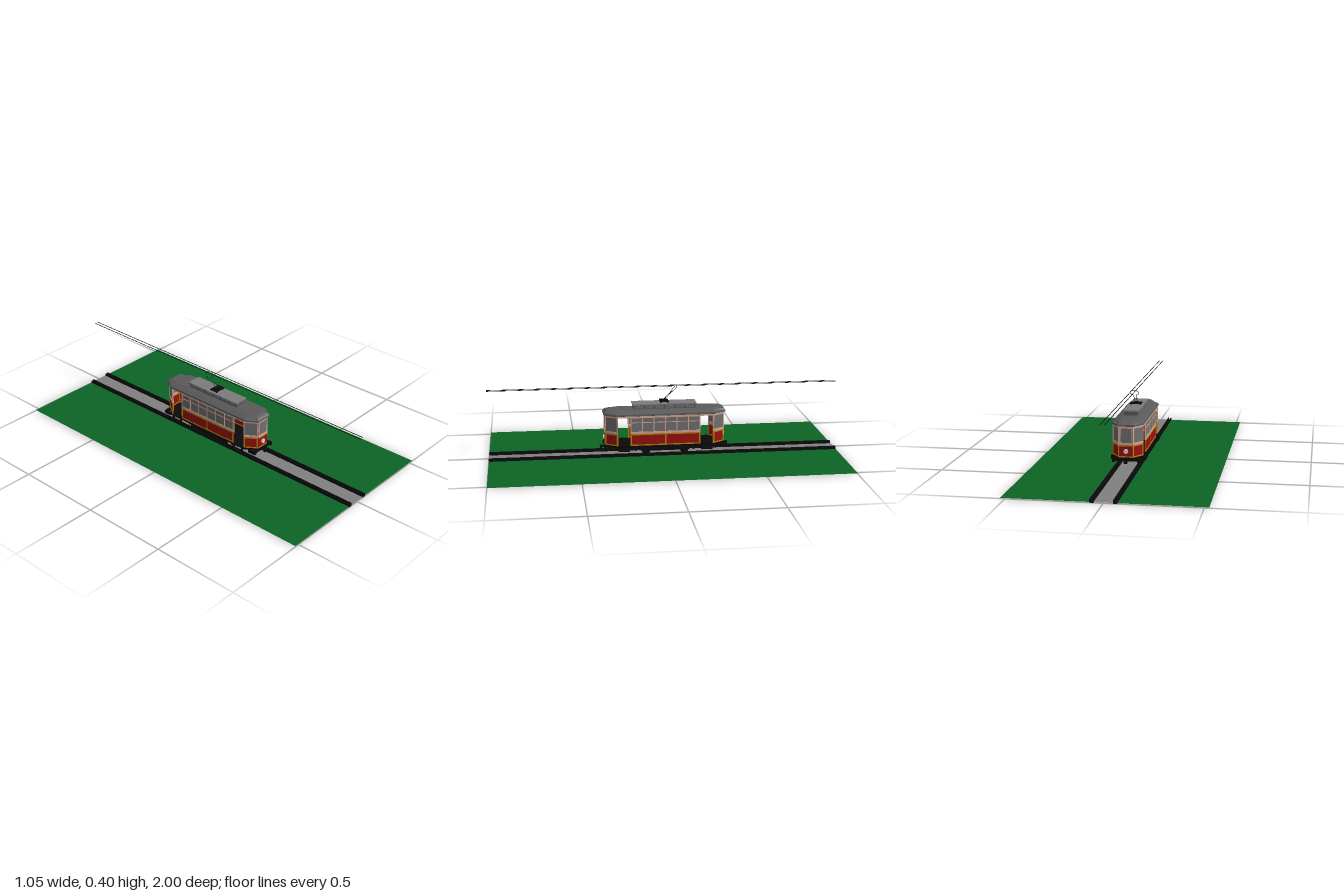
import * as THREE from 'three';

const std = (name, color, extra = {}) => {
  const m = new THREE.MeshStandardMaterial({ color, ...extra });
  m.name = name;
  return m;
};

export function createModel() {
  const root = new THREE.Group();
  root.name = 'tramOnTrack';
  const grass = std('grassGreen', 0x0d6425, { side: THREE.DoubleSide });
  const bed = std('trackGrey', 0x808080, { side: THREE.DoubleSide });
  const black = std('ironBlack', 0x0a0a0a);
  const red = std('bodyRed', 0x9c0f0f);
  const gold = std('trimGold', 0xb8860b);
  const cream = std('framePink', 0xdca898);
  const glass = std('windowGrey', 0x707070);
  const roofMat = std('roofGrey', 0x5a5a5a);
  const lampMat = std('lampWhite', 0xd8d8d8);
  const lidMat = std('lidGrey', 0x7c7c7c);

  const add = (parent, name, geo, mat, x = 0, y = 0, z = 0) => {
    const m = new THREE.Mesh(geo, mat);
    m.name = name;
    m.position.set(x, y, z);
    parent.add(m);
    return m;
  };
  // Box given by its limits
  const box = (parent, name, mat, x0, x1, y0, y1, z0, z1) =>
    add(parent, name, new THREE.BoxGeometry(x1 - x0, y1 - y0, z1 - z0), mat,
      (x0 + x1) / 2, (y0 + y1) / 2, (z0 + z1) / 2);
  const group = (name) => {
    const g = new THREE.Group();
    g.name = name;
    root.add(g);
    return g;
  };
  const tube = (parent, name, pts, r) => {
    const path = new THREE.CurvePath();
    for (let i = 1; i < pts.length; i++) path.add(new THREE.LineCurve3(pts[i - 1], pts[i]));
    return add(parent, name, new THREE.TubeGeometry(path, (pts.length - 1) * 4, r, 6), black);
  };

  // Ground, grooved rails and overhead wires
  const track = group('track');
  const strip = (name, mat, x0, x1) => {
    const m = add(track, name, new THREE.PlaneGeometry(x1 - x0, 2), mat, (x0 + x1) / 2, 0.004, 0);
    m.rotation.x = -Math.PI / 2;
  };
  strip('trackBed', bed, -0.06, 0.06);
  for (const s of [-1, 1]) {
    strip('grass', grass, Math.min(s * 0.06, s * 0.525), Math.max(s * 0.06, s * 0.525));
    box(track, 'railBase', black, s * 0.06 - 0.011, s * 0.06 + 0.011, 0, 0.007, -1, 1);
    for (const d of [-0.0075, 0.0075])
      box(track, 'railLip', black, s * 0.06 + d - 0.003, s * 0.06 + d + 0.003, 0.007, 0.018, -1, 1);
    const wire = add(track, 'overheadWire', new THREE.CylinderGeometry(0.0018, 0.0018, 2, 6), black, s * 0.011, 0.397, 0);
    wire.rotation.x = Math.PI / 2;
  }

  // Stack of eight-sided plan outlines: [y, half width, end half width, shoulder z, end z]
  const loft = (levels) => {
    const pos = [];
    const rings = levels.map(([y, w, e, s, l]) =>
      [[w, -s], [w, s], [e, l], [-e, l], [-w, s], [-w, -s], [-e, -l], [e, -l]].map(([x, z]) => [x, y, z]));
    const tri = (...p) => p.forEach((v) => pos.push(...v));
    for (let k = 0; k + 1 < rings.length; k++)
      for (let i = 0; i < 8; i++) {
        const j = (i + 1) % 8, lo = rings[k], up = rings[k + 1];
        tri(lo[i], up[i], up[j]);
        tri(lo[i], up[j], lo[j]);
      }
    const bot = rings[0], top = rings[rings.length - 1];
    for (let i = 1; i < 7; i++) {
      tri(bot[0], bot[i], bot[i + 1]);
      tri(top[0], top[i + 1], top[i]);
    }
    const g = new THREE.BufferGeometry();
    g.setAttribute('position', new THREE.Float32BufferAttribute(pos, 3));
    g.computeVertexNormals();
    return g;
  };

  const body = group('body');
  add(body, 'floor', loft([[0.06, 0.085, 0.038, 0.275, 0.343], [0.072, 0.086, 0.039, 0.276, 0.345]]), black);

  // One straight wall between two plan points, with panels, trim and windows
  const wall = (name, p, q, windows, panels, bar) => {
    const g = new THREE.Group();
    g.name = name;
    const dx = q[0] - p[0], dz = q[1] - p[1], len = Math.hypot(dx, dz);
    g.position.set((p[0] + q[0]) / 2, 0, (p[1] + q[1]) / 2);
    g.rotation.y = Math.atan2(-dz, dx);
    body.add(g);
    const part = (n, mat, x0, x1, y0, y1, t) => box(g, n, mat, x0, x1, y0, y1, -t / 2, t / 2);
    const h = len / 2;
    part('lowerPanel', red, -h, h, 0.072, 0.142, 0.005);
    part('lowerTrim', gold, -h, h, 0.072, 0.079, 0.008);
    part('upperTrim', gold, -h, h, 0.134, 0.142, 0.008);
    part('sill', cream, -h, h, 0.142, 0.154, 0.008);
    part('header', cream, -h, h, 0.234, 0.247, 0.008);
    part('windowPane', glass, -h, h, 0.154, 0.234, 0.003);
    for (let i = 0; i <= windows; i++) {
      const x = -h + 0.003 + ((len - 0.006) * i) / windows;
      part('windowPost', cream, x - 0.003, x + 0.003, 0.154, 0.234, 0.008);
    }
    if (bar) part('windowBar', cream, -h, h, 0.205, 0.209, 0.006);
    for (let i = 0; panels && i <= panels; i++) {
      const x = -h + 0.004 + ((len - 0.008) * i) / panels;
      part('panelTrim', gold, x - 0.004, x + 0.004, 0.079, 0.134, 0.008);
    }
  };
  for (const s of [-1, 1]) {
    wall('sideWall', [s * 0.083, -0.2], [s * 0.083, 0.2], 6, 2, true);
    wall('endWall', [-0.037, s * 0.34], [0.037, s * 0.34], 1, 0, false);
    for (const e of [-1, 1]) {
      wall('cornerWall', [s * 0.083, e * 0.272], [s * 0.037, e * 0.34], 1, 1, false);
      // Doorway header and hanging step
      const z0 = e > 0 ? 0.2 : -0.272, z1 = z0 + 0.072;
      box(body, 'doorHeader', cream, s * 0.083 - 0.004, s * 0.083 + 0.004, 0.236, 0.247, z0, z1);
      box(body, 'step', black, s * 0.088 - 0.009, s * 0.088 + 0.009, 0.041, 0.046, z0 + 0.004, z1 - 0.004);
      for (const z of [z0 + 0.006, z1 - 0.006])
        box(body, 'stepHanger', black, s * 0.088 - 0.008, s * 0.088 + 0.008, 0.046, 0.066, z - 0.002, z + 0.002);
    }
    // Headlight
    const lamp = add(body, 'headlight', new THREE.CylinderGeometry(0.013, 0.013, 0.01, 20), lampMat, 0, 0.107, s * 0.345);
    lamp.rotation.x = Math.PI / 2;
  }

  // Roof with a raised clerestory
  const roof = group('roof');
  add(roof, 'mainRoof', loft([
    [0.245, 0.086, 0.045, 0.28, 0.346], [0.247, 0.09, 0.049, 0.283, 0.35], [0.256, 0.089, 0.048, 0.282, 0.348],
    [0.266, 0.066, 0.04, 0.275, 0.338], [0.273, 0.045, 0.028, 0.265, 0.32]]), roofMat);
  box(roof, 'clerestory', roofMat, -0.038, 0.038, 0.268, 0.295, -0.178, 0.178);
  box(roof, 'clerestoryLid', lidMat, -0.043, 0.043, 0.295, 0.302, -0.183, 0.183);
  for (const s of [-1, 1])
    for (let i = 0; i < 6; i++) {
      const z = -0.145 + i * 0.058;
      box(roof, 'clerestoryWindow', glass, s * 0.038 - 0.002, s * 0.038 + 0.002, 0.277, 0.291, z - 0.024, z + 0.024);
    }

  // Current collector leaning to the rear
  const collector = group('collector');
  box(collector, 'collectorBase', black, -0.034, 0.034, 0.309, 0.313, -0.025, 0.025);
  for (const x of [-0.026, 0.026])
    for (const z of [-0.02, 0.02]) box(collector, 'insulator', black, x - 0.003, x + 0.003, 0.302, 0.309, z - 0.003, z + 0.003);
  box(collector, 'hinge', black, -0.01, 0.01, 0.313, 0.319, -0.006, 0.006);
  const lean = (x, y) => new THREE.Vector3(x, y, -(y - 0.316) * 0.93);
  const half = [[0.007, 0.316], [0.007, 0.364], [0.02, 0.37], [0.025, 0.38], [0.021, 0.389], [0.012, 0.394]];
  tube(collector, 'collectorBow', [
    ...half.map(([x, y]) => lean(-x, y)), ...half.slice().reverse().map(([x, y]) => lean(x, y))], 0.0014);

  // Running gear, wheels, buffers and couplers
  const gear = group('runningGear');
  box(gear, 'truckFrame', black, -0.05, 0.05, 0.034, 0.062, -0.145, 0.145);
  for (const s of [-1, 1]) {
    box(gear, 'sideFrame', black, s * 0.07 - 0.003, s * 0.07 + 0.003, 0.036, 0.052, -0.14, 0.14);
    box(gear, 'spring', black, s * 0.066 - 0.007, s * 0.066 + 0.007, 0.05, 0.062, -0.165, 0.165);
    const axle = add(gear, 'axle', new THREE.CylinderGeometry(0.006, 0.006, 0.14, 10), black, 0, 0.04, s * 0.11);
    axle.rotation.z = Math.PI / 2;
    for (const x of [-0.06, 0.06]) {
      const wheel = add(gear, 'wheel', new THREE.CylinderGeometry(0.025, 0.025, 0.009, 20), black, x, 0.04, s * 0.11);
      wheel.rotation.z = Math.PI / 2;
      box(gear, 'axleBox', black, x * 1.2 - 0.006, x * 1.2 + 0.006, 0.03, 0.052, s * 0.11 - 0.012, s * 0.11 + 0.012);
      box(gear, 'bufferArm', black, x * 1.15 - 0.007, x * 1.15 + 0.007, 0.047, 0.062, s * 0.325 - 0.025, s * 0.325 + 0.025);
    }
    box(gear, 'fenderBar', black, -0.06, 0.06, 0.032, 0.04, s * 0.165 - 0.004, s * 0.165 + 0.004);
    box(gear, 'endBeam', black, -0.075, 0.075, 0.052, 0.068, s * 0.338 - 0.008, s * 0.338 + 0.008);
    box(gear, 'coupler', black, -0.006, 0.006, 0.047, 0.055, s * 0.335 - 0.035, s * 0.335 + 0.035);
    box(gear, 'couplerHead', black, -0.01, 0.01, 0.043, 0.058, s * 0.363 - 0.005, s * 0.363 + 0.005);
  }
  return root;
}
